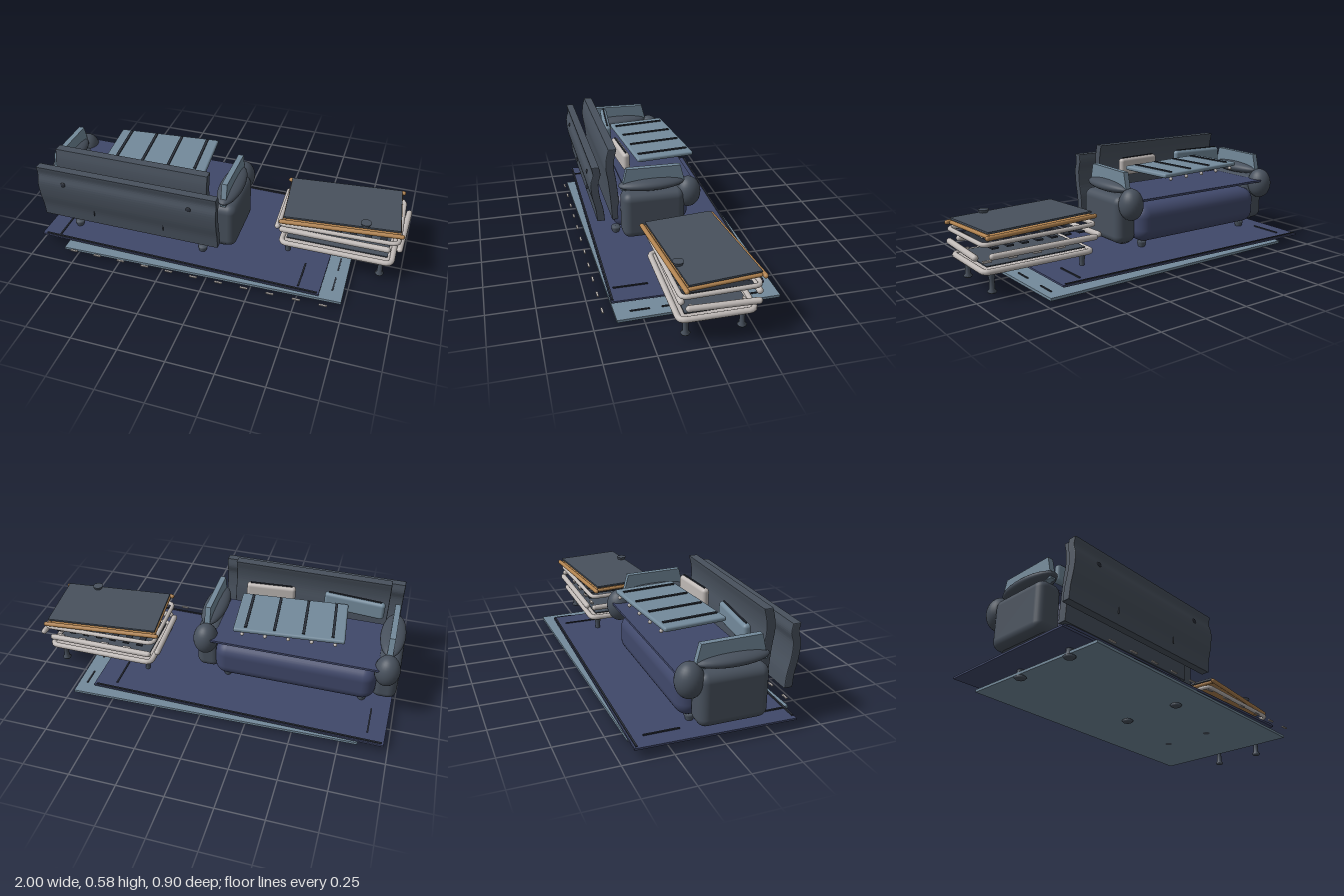
import * as THREE from 'three';
import { RoundedBoxGeometry } from 'three/addons/geometries/RoundedBoxGeometry.js';

const mat = (name, color) => Object.assign(new THREE.MeshStandardMaterial({ color }), { name });

export function createModel() {
  const navy = mat('navy fabric', 0x40486a);
  const blue = mat('pale blue fabric', 0x738a9b);
  const slate = mat('slate fabric', 0x48515d);
  const dark = mat('dark trim', 0x2a2f39);
  const beige = mat('beige frame', 0xbfb9b6);
  const wood = mat('wood', 0xb0824f);
  const model = new THREE.Group();
  model.name = 'loungeSet';

  const group = (name, parent = model) => {
    const g = new THREE.Group();
    g.name = name;
    parent.add(g);
    return g;
  };
  const add = (parent, name, geo, m, x = 0, y = 0, z = 0) => {
    const mesh = new THREE.Mesh(geo, m);
    mesh.name = name;
    mesh.position.set(x, y, z);
    parent.add(mesh);
    return mesh;
  };
  const box = (p, n, m, w, h, d, x, y, z) => add(p, n, new THREE.BoxGeometry(w, h, d), m, x, y, z);
  const soft = (p, n, m, w, h, d, r, x, y, z) => add(p, n, new RoundedBoxGeometry(w, h, d, 4, r), m, x, y, z);
  const ball = (p, n, m, rx, ry, rz, x, y, z) => {
    const b = add(p, n, new THREE.SphereGeometry(1, 28, 18), m, x, y, z);
    b.scale.set(rx, ry, rz);
    return b;
  };
  const rod = (p, n, m, r, len, axis, x, y, z) => {
    const b = add(p, n, new THREE.CapsuleGeometry(r, len - 2 * r, 6, 14), m, x, y, z);
    if (axis === 'x') b.rotation.z = Math.PI / 2;
    else b.rotation.x = Math.PI / 2;
    return b;
  };

  // Flat slab from x,z corner points, bottom at y
  const slab = (p, n, m, pts, y, h) => {
    const s = new THREE.Shape(pts.map(([x, z]) => new THREE.Vector2(x, -z)));
    const g = new THREE.ExtrudeGeometry(s, { depth: h, bevelEnabled: false });
    g.rotateX(-Math.PI / 2);
    return add(p, n, g, m, 0, y, 0);
  };

  // Rugs with their border strips and fringe
  const rugs = group('rugs');
  slab(rugs, 'lowerRug', blue, [[-0.83, 0.42], [0.735, 0.385], [0.72, -0.455], [-0.845, -0.42]], 0.014, 0.014);
  slab(rugs, 'upperRug', navy, [[-0.99, 0.37], [0.615, 0.39], [0.62, -0.405], [-0.975, -0.43]], 0.045, 0.01);
  [[-0.18, -0.408, 1.57, -0.012], [-0.18, 0.372, 1.57, -0.012]].forEach(([x, z, w, a]) => {
    box(rugs, 'rugLongBorder', dark, w, 0.006, 0.009, x, 0.058, z).rotation.y = a;
  });
  [[-0.885, -0.27], [0.5, -0.27], [0.5, 0.27], [-0.885, 0.27]].forEach(([x, z]) =>
    box(rugs, 'rugShortBorder', dark, 0.008, 0.006, 0.18, x, 0.058, z));
  [-0.33, -0.1, 0.1, 0.26].forEach(z => box(rugs, 'lowerRugStripe', dark, 0.008, 0.006, 0.1, 0.675, 0.03, z));
  for (let i = 0; i < 11; i++) box(rugs, 'fringe', beige, 0.042, 0.006, 0.01, -0.76 + i * 0.141, 0.038, 0.442);

  // Turned foot shared by sofa and table
  const foot = (p, n, x, z, h, r) => {
    const pts = [[0, 0], [r * 0.8, 0], [r, 0.008], [r * 0.6, 0.018], [r * 0.55, h * 0.55], [r * 0.85, h - 0.012], [r * 0.8, h], [0, h]];
    const geo = new THREE.LatheGeometry(pts.map(q => new THREE.Vector2(...q)), 20);
    return add(p, n, geo, slate, x, 0, z);
  };

  // Sofa base, deck and feet
  const sofa = group('sofa');
  soft(sofa, 'seatBase', navy, 0.88, 0.21, 0.44, 0.07, -0.445, 0.195, 0.035);
  box(sofa, 'seatDeck', navy, 0.9, 0.012, 0.4, -0.445, 0.345, -0.01);
  for (const x of [-0.82, -0.07]) for (const z of [0.235, -0.105]) foot(sofa, 'sofaFoot', x, z, 0.09, 0.031);

  // Arms: body, padded top, upright wedge panel and front roll
  for (const [x, side] of [[-0.93, -1], [0.043, 1]]) {
    const arm = group(side < 0 ? 'rightArm' : 'leftArm', sofa);
    soft(arm, 'armBody', slate, 0.132, 0.27, 0.35, 0.045, x, 0.225, 0.045);
    soft(arm, 'armLowerBody', slate, 0.08, 0.12, 0.31, 0.03, x - side * 0.01, 0.14, 0.05);
    ball(arm, 'armPad', slate, 0.066, 0.035, 0.185, x, 0.395, 0.05);
    ball(arm, 'armRoll', slate, 0.067, 0.088, 0.07, x, 0.32, -0.158);
    const s = new THREE.Shape([[-0.22, 0.37], [0.14, 0.37], [0.11, 0.49], [-0.19, 0.495]].map(q => new THREE.Vector2(...q)));
    const g = new THREE.ExtrudeGeometry(s, { depth: 0.03, bevelEnabled: false });
    g.rotateY(Math.PI / 2);
    add(arm, 'armPanel', g, blue, x - 0.015, 0, 0);
  }

  // Seat panel with piping and buttons along its front edge
  const seat = group('seatPanel', sofa);
  seat.position.set(-0.4, 0.467, -0.045);
  seat.rotation.y = 0.09;
  soft(seat, 'seatCushion', blue, 0.575, 0.024, 0.33, 0.01, 0, 0, 0);
  [-0.225, -0.075, 0.075, 0.225].forEach(x => {
    box(seat, 'seatPiping', dark, 0.014, 0.008, 0.29, x, 0.014, 0);
  });
  for (let i = 0; i < 5; i++) ball(seat, 'seatButton', beige, 0.01, 0.01, 0.01, -0.24 + i * 0.12, -0.02, -0.16);

  // Loose cushions
  soft(sofa, 'blueCushion', blue, 0.33, 0.1, 0.04, 0.018, -0.7, 0.46, 0.17).rotation.y = -0.09;
  soft(sofa, 'beigeCushion', beige, 0.27, 0.1, 0.04, 0.018, -0.24, 0.46, 0.165).rotation.y = 0.08;
  box(sofa, 'blueCushionSeam', dark, 0.29, 0.008, 0.008, -0.7, 0.511, 0.17).rotation.y = -0.09;
  box(sofa, 'beigeCushionSeam', dark, 0.23, 0.008, 0.008, -0.24, 0.511, 0.165).rotation.y = 0.08;

  // Wavy back panels: an S-curved centre line thickened and swept along x
  const backPanel = (n, w, x, t, line) => {
    const pts = new THREE.CatmullRomCurve3(line.map(([z, y]) => new THREE.Vector3(-z, y, 0))).getPoints(24);
    const outline = [
      ...pts.map(p => new THREE.Vector2(p.x - t, p.y)),
      ...pts.slice().reverse().map(p => new THREE.Vector2(p.x + t, p.y)),
    ];
    const g = new THREE.ExtrudeGeometry(new THREE.Shape(outline), {
      depth: w - 0.01, bevelSize: 0.004, bevelThickness: 0.005, bevelSegments: 2,
    });
    g.rotateY(Math.PI / 2);
    return add(sofa, n, g, slate, x - w / 2, 0, 0);
  };
  backPanel('outerBack', 1.01, -0.442, 0.017, [[0.337, 0.205], [0.343, 0.27], [0.36, 0.35], [0.365, 0.43], [0.352, 0.48], [0.358, 0.52]]);
  backPanel('innerBack', 0.86, -0.447, 0.019, [[0.238, 0.16], [0.245, 0.28], [0.256, 0.4], [0.266, 0.47], [0.262, 0.53], [0.25, 0.58]]);
  for (const x of [-0.8, -0.09]) ball(sofa, 'backButton', dark, 0.014, 0.014, 0.006, x, 0.44, 0.383);
  for (const x of [-0.645, -0.245]) box(sofa, 'backSeam', dark, 0.005, 0.05, 0.005, x, 0.28, 0.366);

  // Coffee table, layers stacked with gaps
  const table = group('coffeeTable');
  table.position.set(0.645, 0, -0.05);

  // Tabletop with wood rails
  const top = group('tableTop', table);
  top.rotation.y = 0.098;
  box(top, 'topSlab', slate, 0.61, 0.01, 0.36, 0, 0.33, 0);
  for (const s of [-1, 1]) {
    rod(top, 'woodRail', wood, 0.012, 0.655, 'x', 0, 0.31, s * 0.193);
    rod(top, 'woodEndRail', wood, 0.01, 0.37, 'z', s * 0.3, 0.31, 0);
  }
  box(top, 'woodUnderlay', wood, 0.59, 0.006, 0.36, 0, 0.31, 0);

  // Small cup on the top and shallow bowl below it
  add(table, 'cup', new THREE.CylinderGeometry(0.028, 0.022, 0.016, 24), slate, 0.14, 0.343, 0.15);
  ball(table, 'bowl', navy, 0.04, 0.01, 0.04, 0.15, 0.296, -0.075);

  // Rounded tube frame
  const ring = (n, w, d, r, y) => {
    const a = w / 2 - r, b = d / 2 - r, c = 0.035;
    const path = new THREE.CurvePath();
    const v = (x, z) => new THREE.Vector3(x, 0, z);
    const corners = [[1, 1], [-1, 1], [-1, -1], [1, -1]];
    corners.forEach(([sx, sz], i) => {
      const alongX = i % 2 === 0;
      const px = v(sx * (a - c), sz * b), pz = v(sx * a, sz * (b - c));
      const [p, q] = alongX ? [pz, px] : [px, pz];
      path.add(new THREE.QuadraticBezierCurve3(p, v(sx * a, sz * b), q));
      const [nx, nz] = corners[(i + 1) % 4];
      path.add(new THREE.LineCurve3(q, alongX ? v(nx * (a - c), nz * b) : v(nx * a, nz * (b - c))));
    });
    return add(table, n, new THREE.TubeGeometry(path, 120, r, 12, true), beige, 0, y, 0);
  };
  ring('upperFrame', 0.655, 0.41, 0.012, 0.274).rotation.y = 0.03;
  ring('lowerFrame', 0.63, 0.4, 0.015, 0.135);

  // Middle frame of separate rails
  for (const s of [-1, 1]) {
    rod(table, 'middleRail', beige, 0.016, 0.6, 'x', -0.015, 0.215, s * 0.19 - 0.02);
    rod(table, 'middleEndRail', beige, 0.016, 0.36, 'z', s * 0.336, 0.215, -0.015).rotation.z = s * 0.04;
  }

  // Slats, shelf and pegs
  for (let i = 0; i < 7; i++) box(table, 'slat', dark, 0.035, 0.008, 0.35, -0.24 + i * 0.08, 0.245, -0.01);
  box(table, 'slatBeam', beige, 0.4, 0.012, 0.03, 0, 0.238, 0.06);
  box(table, 'shelf', beige, 0.6, 0.008, 0.37, 0, 0.135, 0);
  box(table, 'shelfMat', slate, 0.55, 0.006, 0.31, 0, 0.152, 0);
  for (const z of [-0.14, 0.12]) {
    for (let i = 0; i < 4; i++) box(table, 'peg', beige, 0.045, 0.01, 0.014, -0.14 + i * 0.135, 0.172, z);
  }

  // Table legs
  for (const x of [-0.265, 0.245]) for (const z of [0.14, -0.14]) {
    const leg = foot(table, 'tableLeg', x, z, 0.12, 0.024);
    leg.position.y = 0.013;
  }
  return model;
}
